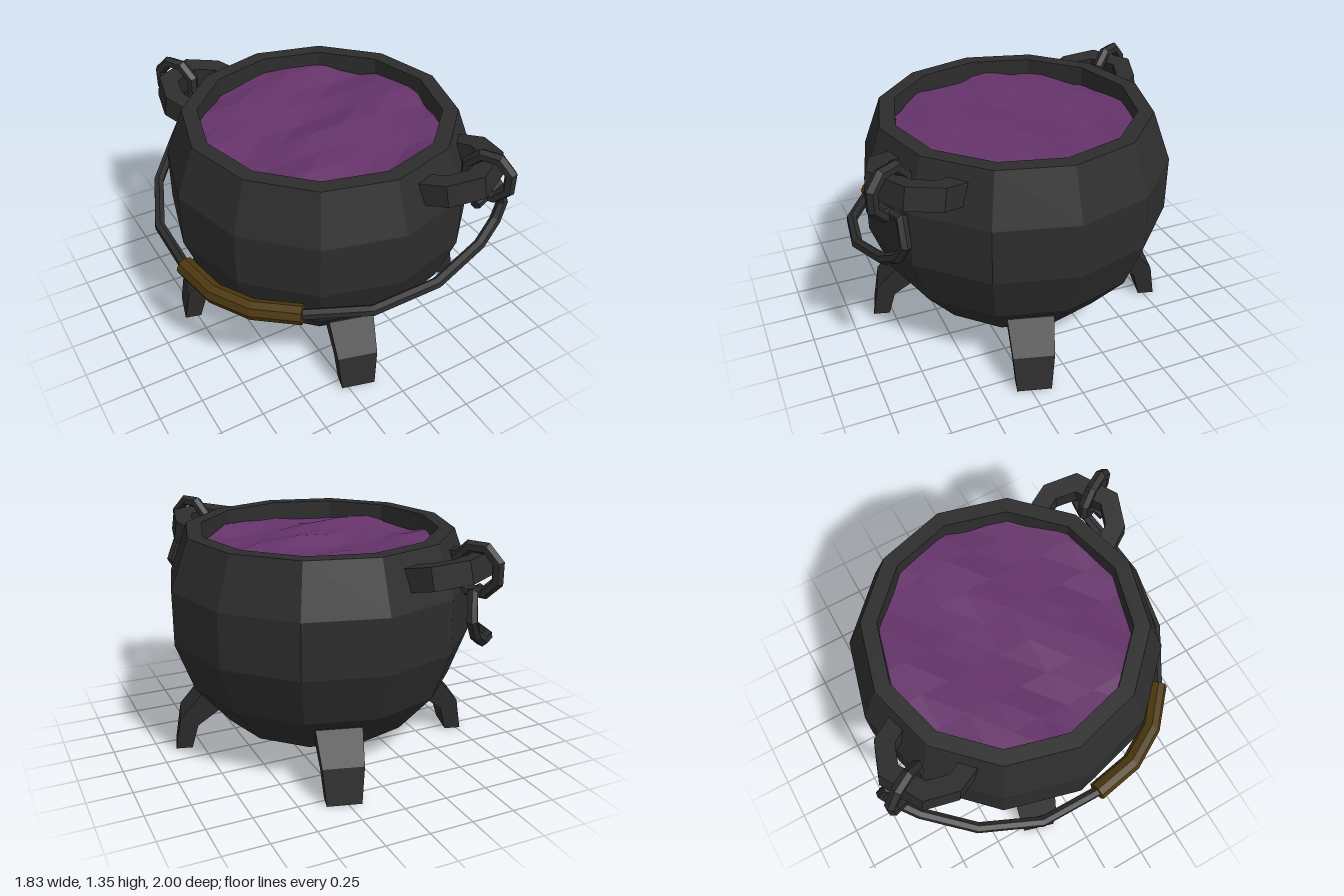
import * as THREE from 'three';

const paint = (color, side = THREE.FrontSide) =>
  new THREE.MeshStandardMaterial({ color, flatShading: true, side });
const iron = paint(0x2d2d2d);
const wood = paint(0x4d390f);
const brew = paint(0x65336a, THREE.DoubleSide);

function add(parent, name, geometry, material) {
  const mesh = new THREE.Mesh(geometry, material);
  mesh.name = name;
  parent.add(mesh);
  return mesh;
}

// Flat outline given thickness, centred on its own plane
function slab(outline, depth) {
  const shape = new THREE.Shape(outline.map(([x, y]) => new THREE.Vector2(x, y)));
  return new THREE.ExtrudeGeometry(shape, { depth, bevelEnabled: false }).translate(0, 0, -depth / 2);
}

// Faceted rod with one ring per path point and closed ends
function rod(path, radius, sides) {
  const pts = path.map((p) => new THREE.Vector3(...p));
  const first = pts[0].clone().lerp(pts[1], -0.005);
  const last = pts.at(-1).clone().lerp(pts.at(-2), -0.005);
  const curve = new THREE.CatmullRomCurve3([first, ...pts, last], false, 'catmullrom', 0.5);
  curve.getPointAt = curve.getPoint;
  curve.getTangentAt = curve.getTangent;
  const rings = pts.length + 2;
  const geometry = new THREE.TubeGeometry(curve, rings - 1, radius, sides);
  const pos = geometry.attributes.position;
  for (let i = 0; i <= sides; i++) {
    pos.setXYZ(i, first.x, first.y, first.z);
    pos.setXYZ((rings - 1) * (sides + 1) + i, last.x, last.y, last.z);
  }
  return geometry;
}

export function createModel() {
  const model = new THREE.Group();
  model.name = 'cauldron';
  const body = new THREE.Group();
  body.name = 'body';
  body.position.x = 0.04;
  model.add(body);

  // Twelve-sided pot with a thick rim
  const profile = [
    [0, 0.16], [0.42, 0.16], [0.565, 0.185], [0.765, 0.42], [0.87, 0.705],
    [0.87, 1.015], [0.765, 1.297], [0.677, 1.297], [0.677, 1.12],
  ].map(([r, y]) => new THREE.Vector2(r, y));
  add(body, 'pot', new THREE.LatheGeometry(profile, 12), iron);

  // Rippled liquid: a grid drawn in to a disc whose edge sits inside the wall
  const liquid = new THREE.PlaneGeometry(1.44, 1.44, 7, 9).rotateX(-Math.PI / 2);
  const lp = liquid.attributes.position;
  for (let i = 0; i < lp.count; i++) {
    const x = lp.getX(i), z = lp.getZ(i);
    const k = Math.min(1, 0.72 / Math.max(Math.hypot(x, z), 0.001));
    lp.setXYZ(i, x * k, 1.2 + 0.018 * Math.sin(5 * x + 9 * z) + 0.012 * Math.sin(17 * z - 4 * x), z * k);
  }
  add(body, 'liquid', liquid, brew);

  // Four bent legs, wider at the top
  const legGeometry = slab([
    [0.775, 0], [0.87, 0], [0.835, 0.2], [0.7, 0.36], [0.6, 0.36], [0.55, 0.29], [0.735, 0.147],
  ], 1);
  const gp = legGeometry.attributes.position;
  for (let i = 0; i < gp.count; i++) gp.setZ(i, gp.getZ(i) * (0.19 + 0.18 * gp.getY(i)));
  for (let i = 0; i < 4; i++) {
    add(body, 'leg', legGeometry, iron).rotation.y = -0.27 + i * Math.PI / 2;
  }

  // Handle assembly: lugs lie on its own x axis, the grip hangs toward its own z
  const handle = new THREE.Group();
  handle.name = 'handleAssembly';
  handle.rotation.y = -Math.PI / 3;
  body.add(handle);

  const lugGeometry = slab([
    [-0.08, -0.27], [0.1, -0.26], [0.25, -0.13], [0.25, 0.13], [0.1, 0.26], [-0.08, 0.27],
    [-0.08, 0.17], [0.06, 0.16], [0.15, 0.08], [0.15, -0.08], [0.06, -0.16], [-0.08, -0.17],
  ], 0.125).rotateX(-Math.PI / 2);
  const ringGeometry = new THREE.TorusGeometry(0.125, 0.034, 6, 8);
  for (const turn of [0, Math.PI]) {
    const side = new THREE.Group();
    side.name = 'lugAndRing';
    side.rotation.y = turn;
    handle.add(side);
    const lug = add(side, 'lug', lugGeometry, iron);
    lug.position.set(0.78, 1.17, 0);
    lug.rotation.z = 0.2;
    const ring = add(side, 'ring', ringGeometry, iron);
    ring.position.set(0.99, 1.2, 0);
    ring.rotation.z = Math.PI / 8;
  }

  // Hooked bail, one half mirrored to the other
  const half = [
    [0.97, 1.07, 0.09], [1.02, 1.1, -0.1], [1.047, 0.97, -0.14], [1.04, 0.88, -0.08],
    [1.015, 0.8, 0.06], [0.91, 0.715, 0.364], [0.687, 0.65, 0.65], [0.376, 0.62, 0.829],
  ];
  const mirror = (pts) => pts.map(([x, y, z]) => [-x, y, z]).reverse();
  const middle = [0, 0.605, 0.92];
  add(handle, 'bail', rod([...half, middle, ...mirror(half)], 0.031, 6), iron);

  // Wooden grip around the middle of the bail
  const gripEnd = [[0.376, 0.62, 0.829], [0.12, 0.607, 0.918]];
  add(handle, 'grip', rod([...gripEnd, ...mirror(gripEnd)], 0.056, 8), wood);

  return model;
}
